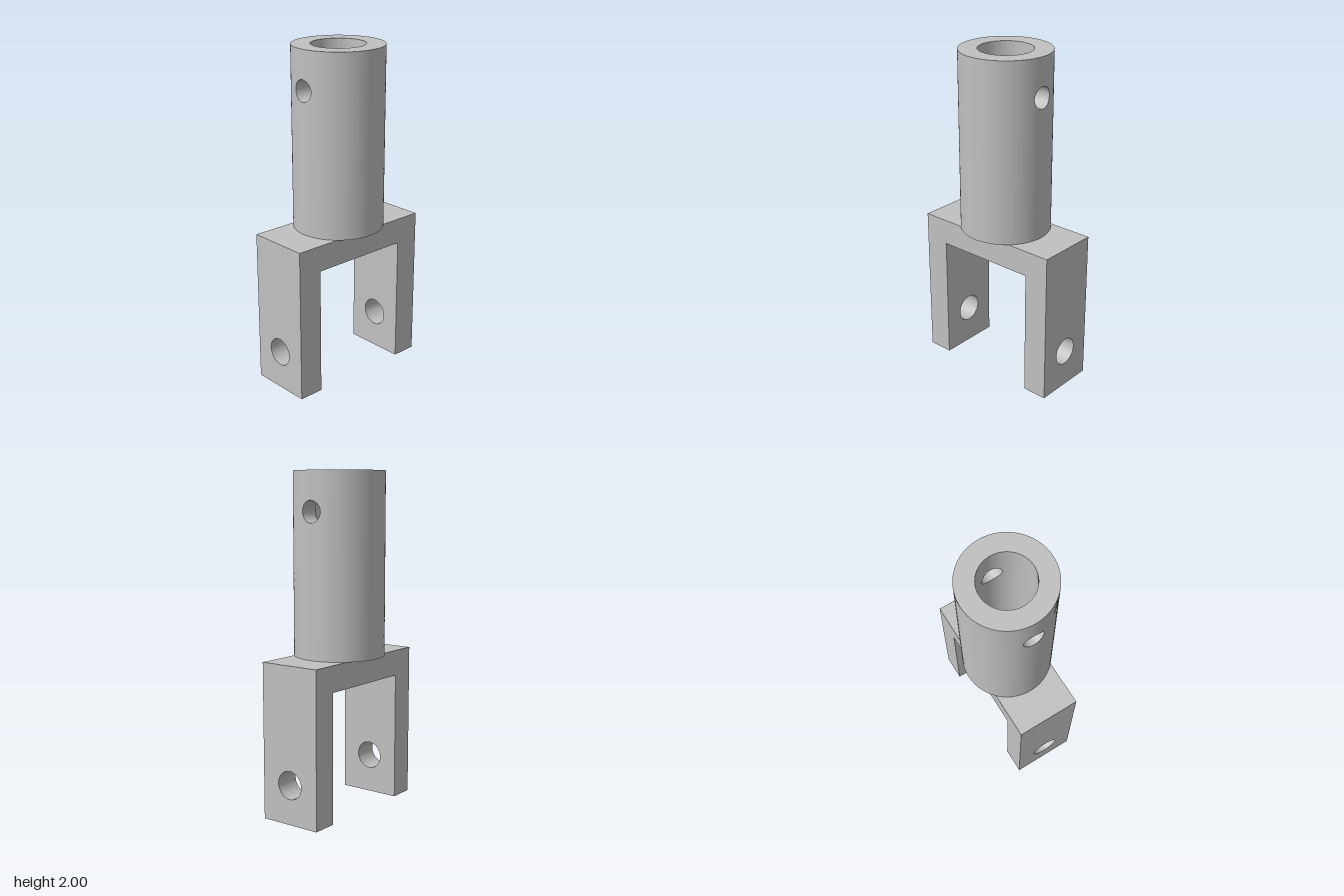
import * as THREE from 'three';
import { toCreasedNormals } from 'three/addons/utils/BufferGeometryUtils.js';

const OUTER = 0.268, BORE = 0.158;          // socket tube radii
const TOP = 2, SHOULDER = 0.925;            // tube top, fork top
const PIN_R = 0.063, PIN_Y = 1.77;          // cross hole in the tube
const HALF_W = 0.468, HALF_D = 0.192, GAP = 0.315, BRIDGE_Y = 0.77;
const AXLE_R = 0.083, AXLE_Y = 0.235;       // holes in the fork legs

// Surface from a rule fn(u, v) -> [position, normal]
function surface(fn, nu, nv, flip = false) {
  const pos = [], nor = [], index = [];
  for (let i = 0; i <= nu; i++) {
    for (let j = 0; j <= nv; j++) {
      const [p, n] = fn(i / nu, j / nv);
      pos.push(...p);
      nor.push(...n.map((c) => (flip ? -c : c)));
      if (i === nu || j === nv) continue;
      const a = i * (nv + 1) + j, b = a + nv + 1;
      if (flip) index.push(a, a + 1, b, b, a + 1, b + 1);
      else index.push(a, b, a + 1, b, b + 1, a + 1);
    }
  }
  const g = new THREE.BufferGeometry();
  g.setAttribute('position', new THREE.Float32BufferAttribute(pos, 3));
  g.setAttribute('normal', new THREE.Float32BufferAttribute(nor, 3));
  g.setIndex(index);
  return g;
}

// Half a cylinder wall around +x, spreading from the pin hole rim to its edges
function piercedHalf(radius, flip) {
  return surface((u, v) => {
    const t = v * Math.PI * 2, c = Math.cos(t), s = Math.sin(t);
    const m = Math.max(Math.abs(c), Math.abs(s));
    const rimA = Math.asin((PIN_R * c) / radius), rimY = PIN_Y + PIN_R * s;
    const edgeA = (c / m) * Math.PI / 2;
    const edgeY = PIN_Y + (s / m) * (s > 0 ? TOP - PIN_Y : PIN_Y - SHOULDER);
    const a = rimA + (edgeA - rimA) * u, y = rimY + (edgeY - rimY) * u;
    const n = [Math.cos(a), 0, -Math.sin(a)];
    return [[n[0] * radius, y, n[2] * radius], n];
  }, 24, 160, flip);
}

// Lining of the pin hole between bore and outer wall
function pinHoleWall() {
  return surface((u, v) => {
    const t = v * Math.PI * 2, z = -PIN_R * Math.cos(t);
    const inner = Math.sqrt(BORE * BORE - z * z), outer = Math.sqrt(OUTER * OUTER - z * z);
    return [[inner + (outer - inner) * u, PIN_Y + PIN_R * Math.sin(t), z], [0, -Math.sin(t), Math.cos(t)]];
  }, 1, 160);
}

export function createModel() {
  const model = new THREE.Group();
  model.name = 'forkEnd';
  const steel = new THREE.MeshStandardMaterial({ color: 0xc0c0c0 });
  steel.name = 'grey steel';

  const add = (parent, name, geometry) => {
    const mesh = new THREE.Mesh(geometry, steel);
    mesh.name = name;
    parent.add(mesh);
    return mesh;
  };

  // Socket tube, with a blind bore and a cross pin hole
  const socket = new THREE.Group();
  socket.name = 'socket';
  model.add(socket);
  for (const [side, turn] of [['left', 0], ['right', Math.PI]]) {
    add(socket, side + 'OuterWall', piercedHalf(OUTER, false)).rotation.y = turn;
    add(socket, side + 'BoreWall', piercedHalf(BORE, true)).rotation.y = turn;
    add(socket, side + 'PinHole', pinHoleWall()).rotation.y = turn;
  }
  add(socket, 'topRim', new THREE.RingGeometry(BORE, OUTER, 96).rotateX(-Math.PI / 2)).position.y = TOP;
  add(socket, 'shoulderRim', new THREE.RingGeometry(BORE, OUTER, 96).rotateX(Math.PI / 2)).position.y = SHOULDER;

  // Fork: two drilled legs joined by a bridge
  const fork = new THREE.Group();
  fork.name = 'fork';
  model.add(fork);

  const profile = new THREE.Shape();
  profile.moveTo(-HALF_D, 0).lineTo(HALF_D, 0).lineTo(HALF_D, SHOULDER).lineTo(-HALF_D, SHOULDER).closePath();
  profile.holes.push(new THREE.Path().absarc(0, AXLE_Y, AXLE_R, 0, Math.PI * 2, true));
  const leg = toCreasedNormals(
    new THREE.ExtrudeGeometry(profile, { depth: HALF_W - GAP, bevelEnabled: false, curveSegments: 64 })
      .rotateY(Math.PI / 2), 0.6);
  add(fork, 'leftLeg', leg).position.x = GAP;
  add(fork, 'rightLeg', leg).position.x = -HALF_W;

  const bridge = new THREE.BoxGeometry(GAP * 2, SHOULDER - BRIDGE_Y, HALF_D * 2);
  add(fork, 'bridge', bridge).position.y = (SHOULDER + BRIDGE_Y) / 2;

  return model;
}
